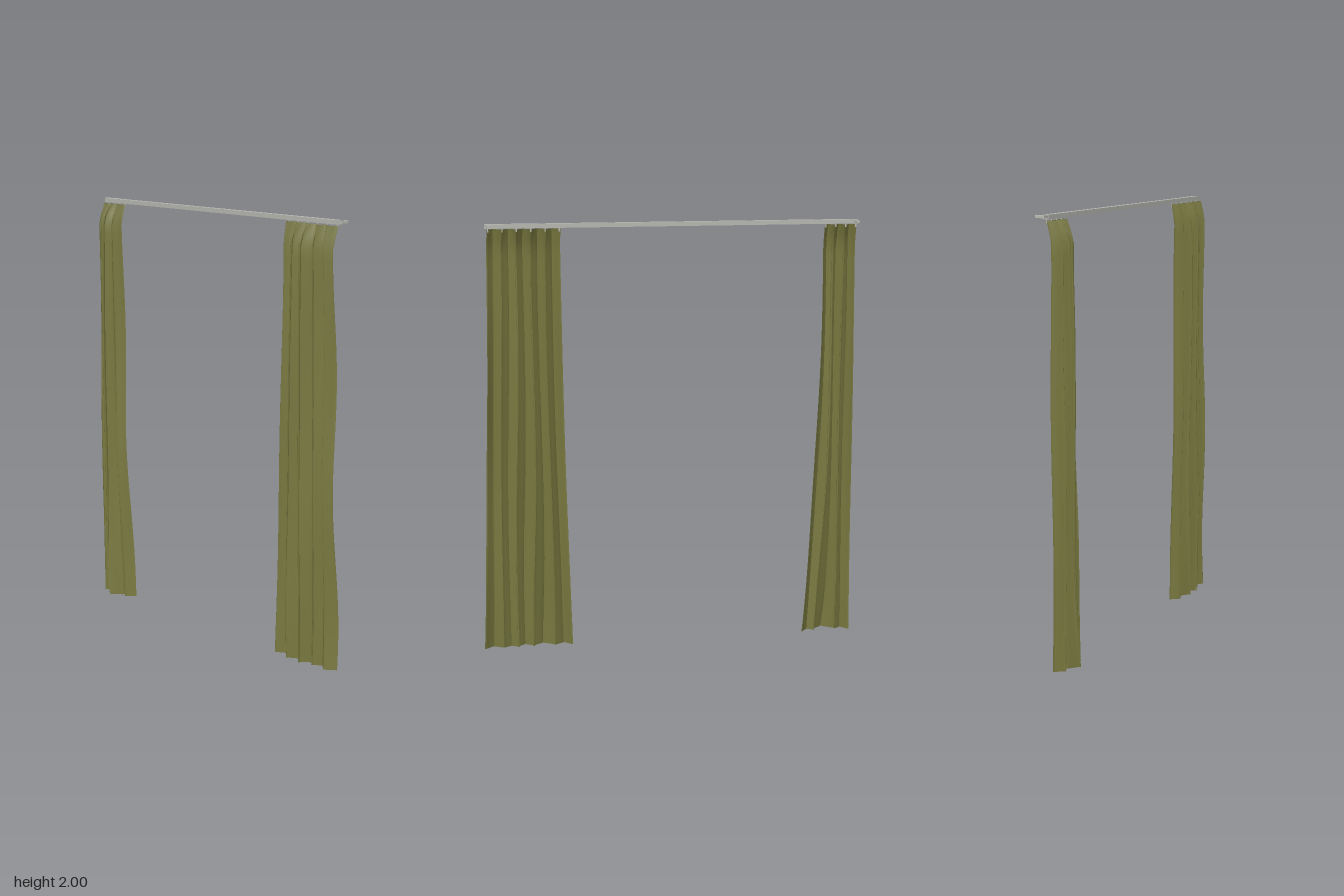
import * as THREE from 'three';

const HEM_TOP = 1.975;
const lerp = THREE.MathUtils.lerp;

const cloth = new THREE.MeshStandardMaterial({ color: 0x77773f, side: THREE.DoubleSide });
cloth.name = 'olive cloth';
const metal = new THREE.MeshStandardMaterial({ color: 0xb8b8b2 });
metal.name = 'pale metal';

function box(name, w, h, d, x, y, z) {
  const mesh = new THREE.Mesh(new THREE.BoxGeometry(w, h, d), metal);
  mesh.name = name;
  mesh.position.set(x, y, z);
  return mesh;
}

// Pleated sheet: one forward bulge per entry in depths, gathered at the top
function curtain(name, { top, bottom, flare, depths, lift, wobble, seed }) {
  const n = depths.length;
  const geo = new THREE.PlaneGeometry(1, 1, n * 18, 40);
  const p = geo.attributes.position;
  for (let i = 0; i < p.count; i++) {
    const u = p.getX(i) + 0.5;
    const t = 0.5 - p.getY(i);
    const spread = Math.pow(t, flare);
    const mid = Math.sin(Math.PI * u);
    // folds wander sideways on the way down
    const drift = (0.22 / n) * mid * t * Math.sin(5 * t + 7 * u + seed);
    const f = THREE.MathUtils.clamp((u + drift) * n, 0, n);
    const bulge = 0.5 - 0.5 * Math.cos(2 * Math.PI * f);
    const depth = depths[Math.min(n - 1, Math.floor(f))];
    // cloth swings forward just below the rail
    const drop = THREE.MathUtils.smoothstep(t, 0, 0.045);
    const hang = lift * mid + wobble * Math.pow(u, 8) * Math.sin(11 * t + 1)
      + 0.004 * Math.sin(9 * t + 8 * u + seed);
    const z = lerp(-0.022 + 0.036 * bulge, -0.005 + hang + depth * bulge, drop);
    const lean = 0.012 * mid * Math.sin(4 * Math.PI * f) * drop;
    const x = lerp(lerp(top[0], bottom[0], spread), lerp(top[1], bottom[1], spread), u) - lean;
    p.setXYZ(i, x, HEM_TOP * (1 - t), z);
  }
  geo.computeVertexNormals();

  const group = new THREE.Group();
  group.name = name;
  const sheet = new THREE.Mesh(geo, cloth);
  sheet.name = name + 'Cloth';
  group.add(sheet);
  // Gliders hold the back of each pleat to the rail
  for (let k = 0; k <= n; k++) {
    const x = lerp(top[0] + 0.005, top[1] - 0.005, k / n);
    group.add(box('glider', 0.006, 0.022, 0.005, x, 1.974, -0.022));
  }
  return group;
}

// Channel rail with a slot along its underside
function rail(x0, x1) {
  const s = new THREE.Shape();
  [[-0.012, 0], [-0.012, 0.02], [0.012, 0.02], [0.012, 0], [0.004, 0], [0.004, 0.004],
    [0.009, 0.004], [0.009, 0.016], [-0.009, 0.016], [-0.009, 0.004], [-0.004, 0.004], [-0.004, 0]]
    .forEach(([a, b], i) => (i ? s.lineTo(a, b) : s.moveTo(a, b)));
  const geo = new THREE.ExtrudeGeometry(s, { depth: x1 - x0, bevelEnabled: false });
  geo.rotateY(Math.PI / 2);
  const mesh = new THREE.Mesh(geo, metal);
  mesh.name = 'rail';
  mesh.position.set(x0, 1.98, -0.022);
  return mesh;
}

export function createModel() {
  const model = new THREE.Group();
  model.name = 'curtains';
  model.add(rail(-0.895, 0.861));

  // Wall brackets
  for (const x of [-0.885, 0.847]) {
    model.add(box('bracket', 0.016, 0.012, 0.046, x, 1.99, -0.053));
  }

  model.add(curtain('rightCurtain', {
    top: [-0.892, -0.738], bottom: [-0.89, -0.652], flare: 2,
    depths: [0.04, 0.055, 0.035], lift: 0.018, wobble: 0.006, seed: 1,
  }));
  model.add(curtain('leftCurtain', {
    top: [0.513, 0.851], bottom: [0.47, 0.89], flare: 1.6,
    depths: [0.038, 0.05, 0.055, 0.036, 0.036], lift: 0.003, wobble: 0.016, seed: 3,
  }));
  return model;
}
